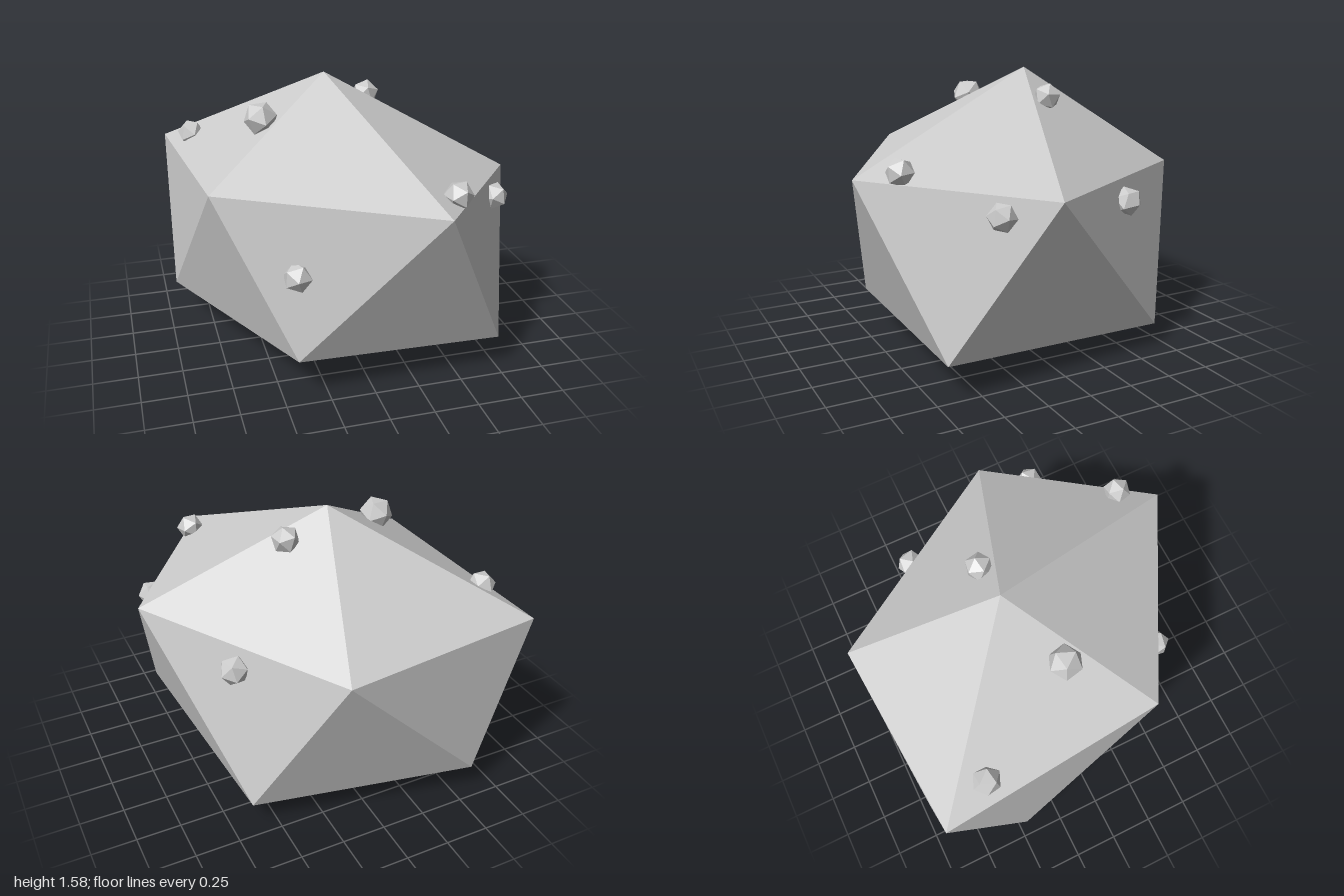
import * as THREE from 'three';

export function createModel() {
  const group = new THREE.Group();
  const material = new THREE.MeshStandardMaterial({ color: 0xcccccc, flatShading: true });

  // Boulder: an irregular icosahedron, apex + two staggered rings of five + base point
  const apex = [-0.05, 1.58, -0.17];
  const upper = [[-0.81, 1.11, 0.39], [0.3, 1.1, 1], [0.945, 1.03, 0.145], [0.23, 1, -1], [-0.92, 1.05, -0.91]];
  const lower = [[-0.42, 0.245, 0.715], [0.745, 0.2, 0.685], [0.635, 0.14, -0.67], [-0.59, 0.175, -0.955], [-0.95, 0.21, -0.46]];
  const base = [-0.105, 0, -0.125];

  const corners = [];
  for (let i = 0; i < 5; i++) {
    const j = (i + 1) % 5;
    corners.push(apex, upper[i], upper[j]);
    corners.push(upper[i], lower[i], upper[j]);
    corners.push(upper[j], lower[i], lower[j]);
    corners.push(base, lower[j], lower[i]);
  }
  const rock = new THREE.BufferGeometry();
  rock.setAttribute('position', new THREE.Float32BufferAttribute(corners.flat(), 3));
  rock.computeVertexNormals();
  const boulder = new THREE.Mesh(rock, material);
  boulder.name = 'boulder';
  group.add(boulder);

  // Small pebbles half sunk into the faces: x, y, z, radius
  const pebbles = [
    [-0.405, 0.72, 0.655, 0.083],
    [0.41, 1.14, 0.785, 0.08],
    [0.79, 0.95, 0.405, 0.08],
    [0.625, 0.895, -0.455, 0.083],
    [0.2, 1.435, -0.18, 0.08],
    [-0.455, 1.385, 0, 0.097],
    [-0.78, 1.14, -0.61, 0.082],
  ];
  pebbles.forEach(([x, y, z, r], i) => {
    const pebble = new THREE.Mesh(new THREE.IcosahedronGeometry(r, 0), material);
    pebble.name = `pebble${i + 1}`;
    pebble.position.set(x, y, z);
    pebble.rotation.set(0.5 + i * 1.3, i * 2.1, 0.3 + i * 0.7);
    group.add(pebble);
  });

  return group;
}
